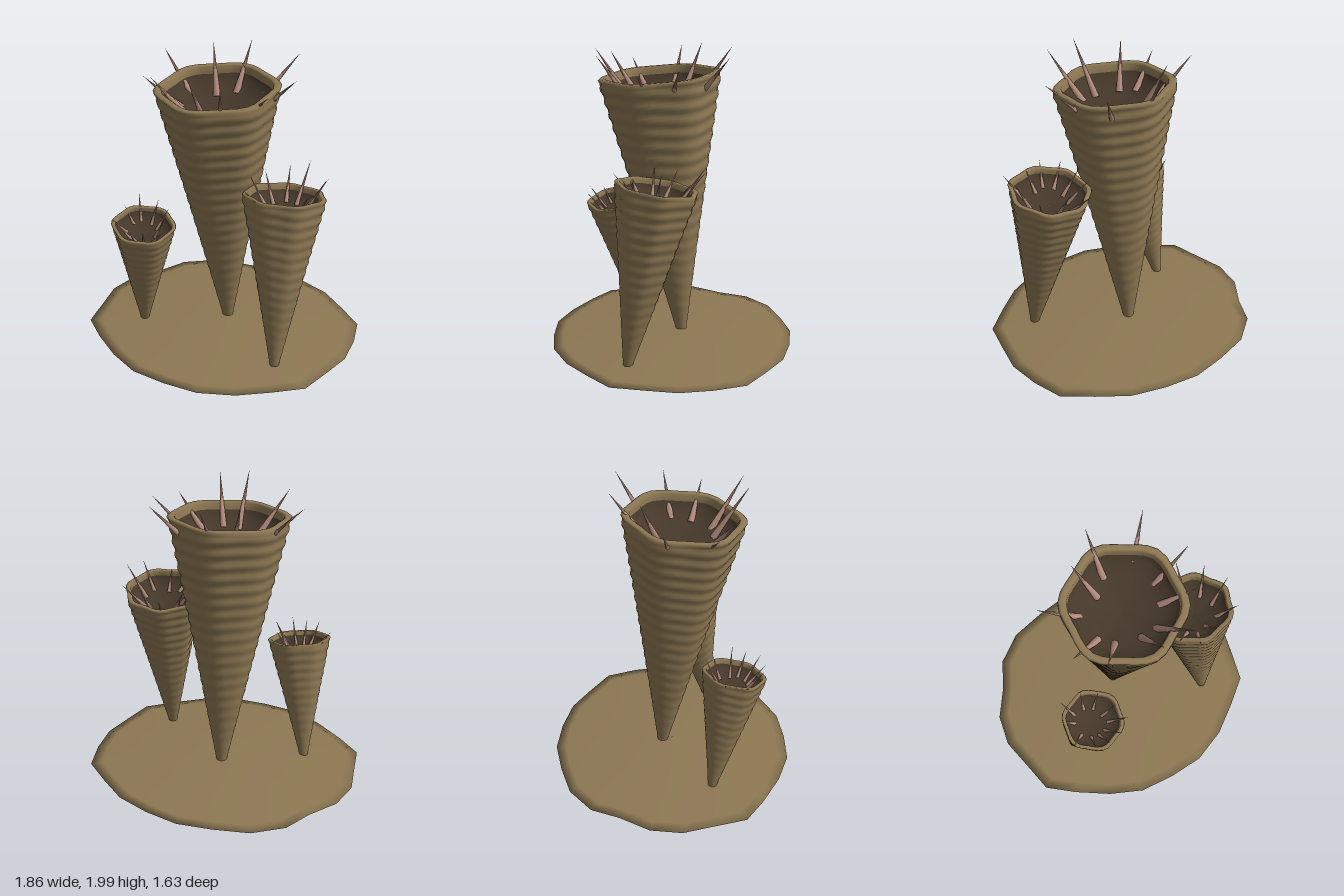
import * as THREE from 'three';

const tan = new THREE.MeshStandardMaterial({ color: 0x8d7853 });
tan.name = 'tan skin';
const dark = new THREE.MeshStandardMaterial({ color: 0x45382a });
dark.name = 'dark hollow';
const pink = new THREE.MeshStandardMaterial({ color: 0xb38c7e });
pink.name = 'pink spine';

// Smooth surface through closed rings that all have the same point count
function loft(rings) {
  const n = rings[0].length, pos = [], idx = [];
  for (const ring of rings) for (const p of ring) pos.push(...p);
  for (let i = 0; i < rings.length - 1; i++) {
    for (let j = 0; j < n; j++) {
      const k = (j + 1) % n, a = i * n + j, b = i * n + k, c = a + n, d = b + n;
      idx.push(a, c, b, b, c, d);
    }
  }
  const g = new THREE.BufferGeometry();
  g.setAttribute('position', new THREE.Float32BufferAttribute(pos, 3));
  g.setIndex(idx);
  g.computeVertexNormals();
  return g;
}

function mesh(name, geometry, material) {
  const m = new THREE.Mesh(geometry, material);
  m.name = name;
  return m;
}

// Thin domed plate with an irregular outline (x, z corners, clockwise from +x)
function makeGround() {
  const outline = [
    [0.925, 0], [0.88, 0.21], [0.83, 0.42], [0.66, 0.56], [0.47, 0.7], [0.24, 0.795], [0, 0.81],
    [-0.24, 0.795], [-0.46, 0.7], [-0.67, 0.565], [-0.84, 0.43], [-0.885, 0.21], [-0.93, 0], [-0.89, -0.21],
    [-0.76, -0.4], [-0.67, -0.585], [-0.48, -0.725], [-0.24, -0.785], [0, -0.82],
    [0.24, -0.78], [0.47, -0.705], [0.66, -0.57], [0.84, -0.43], [0.9, -0.22],
  ];
  const profile = [[0.001, 0], [0.92, 0], [1, 0.003], [0.92, 0.012], [0.55, 0.033], [0.25, 0.043], [0.001, 0.045]];
  return mesh('groundPlate', loft(profile.map(([s, y]) => outline.map(([x, z]) => [x * s, y, z * s]))), tan);
}

// Leaning hollow tube: ridged skin, rounded lip, dark bowl and a crown of spines
function makeTube({ name, foot, top, radius, footRadius, lobes, phase, waves, spine, tips }) {
  const group = new THREE.Group();
  group.name = name;
  const base = new THREE.Vector3(...foot), rim = new THREE.Vector3(...top);
  const axis = rim.clone().sub(base), height = axis.length();
  axis.normalize();

  const ring = (r, y, t) => Array.from({ length: 36 }, (_, j) => {
    const a = j / 36 * Math.PI * 2;
    const ridge = 0.016 * radius * t * Math.sin(t * waves * Math.PI * 2 + 1.2 * Math.sin(2 * a + phase));
    const q = r * (1 + 0.04 * t * Math.cos(lobes * a + phase)) + (r > 0.01 ? ridge : 0);
    return [q * Math.cos(a), y, q * Math.sin(a)];
  });

  const skin = [ring(0.001, 0, 0)];
  const steps = Math.round(waves * 5);
  for (let i = 0; i <= steps; i++) {
    const t = i / steps;
    skin.push(ring(footRadius + (radius - footRadius) * t, height * t - 0.025 * radius * t, t));
  }
  const lip = [[0.97, 0], [0.9, 0], [0.87, -0.02], [0.86, -0.14]];
  for (const [r, y] of lip) skin.push(ring(radius * r, height + y * radius, 1));
  const bowl = [[0.86, -0.14], [0.8, -0.27], [0.6, -0.37], [0.3, -0.45], [0.002, -0.48]]
    .map(([r, y]) => ring(radius * r, height + y * radius, 1));

  const body = new THREE.Group();
  body.name = name + 'Body';
  body.position.copy(base);
  body.quaternion.setFromUnitVectors(new THREE.Vector3(0, 1, 0), axis);
  body.add(mesh('tubeSkin', loft(skin), tan), mesh('tubeHollow', loft(bowl), dark));
  group.add(body);

  // Spines rise out of the bowl and splay over the lip
  for (const t of tips) {
    const tip = new THREE.Vector3(...t), d = tip.clone().sub(rim);
    const root = d.clone().addScaledVector(axis, -d.dot(axis)).multiplyScalar(0.5)
      .add(rim).addScaledVector(axis, -0.4 * radius);
    const dir = tip.clone().sub(root), len = dir.length();
    const m = mesh('spine', new THREE.ConeGeometry(spine, len, 7), pink);
    m.position.copy(root).lerp(tip, 0.5);
    m.quaternion.setFromUnitVectors(new THREE.Vector3(0, 1, 0), dir.normalize());
    group.add(m);
  }
  return group;
}

export function createModel() {
  const model = new THREE.Group();
  model.name = 'tubeCluster';
  model.add(makeGround());
  model.add(makeTube({
    name: 'tallTube', foot: [0, 0.03, -0.065], top: [0, 1.805, 0.08],
    radius: 0.385, footRadius: 0.034, lobes: 6, phase: Math.PI, waves: 20, spine: 0.025,
    tips: [
      [0, 1.98, -0.39], [0.37, 1.96, -0.34], [0.5, 1.9, -0.02], [0.43, 1.86, 0.23], [0.24, 1.96, 0.48],
      [0.03, 1.98, 0.49], [-0.29, 1.92, 0.4], [-0.44, 1.85, 0.25], [-0.49, 1.93, -0.09], [-0.19, 1.99, -0.21],
    ],
  }));
  model.add(makeTube({
    name: 'middleTube', foot: [0.55, 0.02, 0.305], top: [0.5, 1.185, 0.11],
    radius: 0.262, footRadius: 0.03, lobes: 7, phase: 0.6, waves: 16, spine: 0.015,
    tips: [
      [0.39, 1.25, -0.2], [0.54, 1.32, -0.19], [0.71, 1.26, -0.09], [0.77, 1.34, 0.09], [0.74, 1.3, 0.28],
      [0.54, 1.25, 0.33], [0.4, 1.25, 0.38], [0.29, 1.25, 0.29], [0.26, 1.26, 0.12], [0.29, 1.25, -0.03],
    ],
  }));
  model.add(makeTube({
    name: 'shortTube', foot: [-0.505, 0.02, 0.235], top: [-0.395, 0.865, 0.375],
    radius: 0.205, footRadius: 0.028, lobes: 6, phase: 2.4, waves: 13, spine: 0.012,
    tips: [
      [-0.54, 1.0, 0.2], [-0.6, 0.92, 0.29], [-0.59, 0.9, 0.47], [-0.48, 0.93, 0.56], [-0.38, 0.91, 0.58],
      [-0.28, 0.92, 0.56], [-0.19, 0.9, 0.48], [-0.22, 0.96, 0.38], [-0.28, 0.95, 0.24], [-0.39, 0.97, 0.19],
    ],
  }));
  return model;
}
